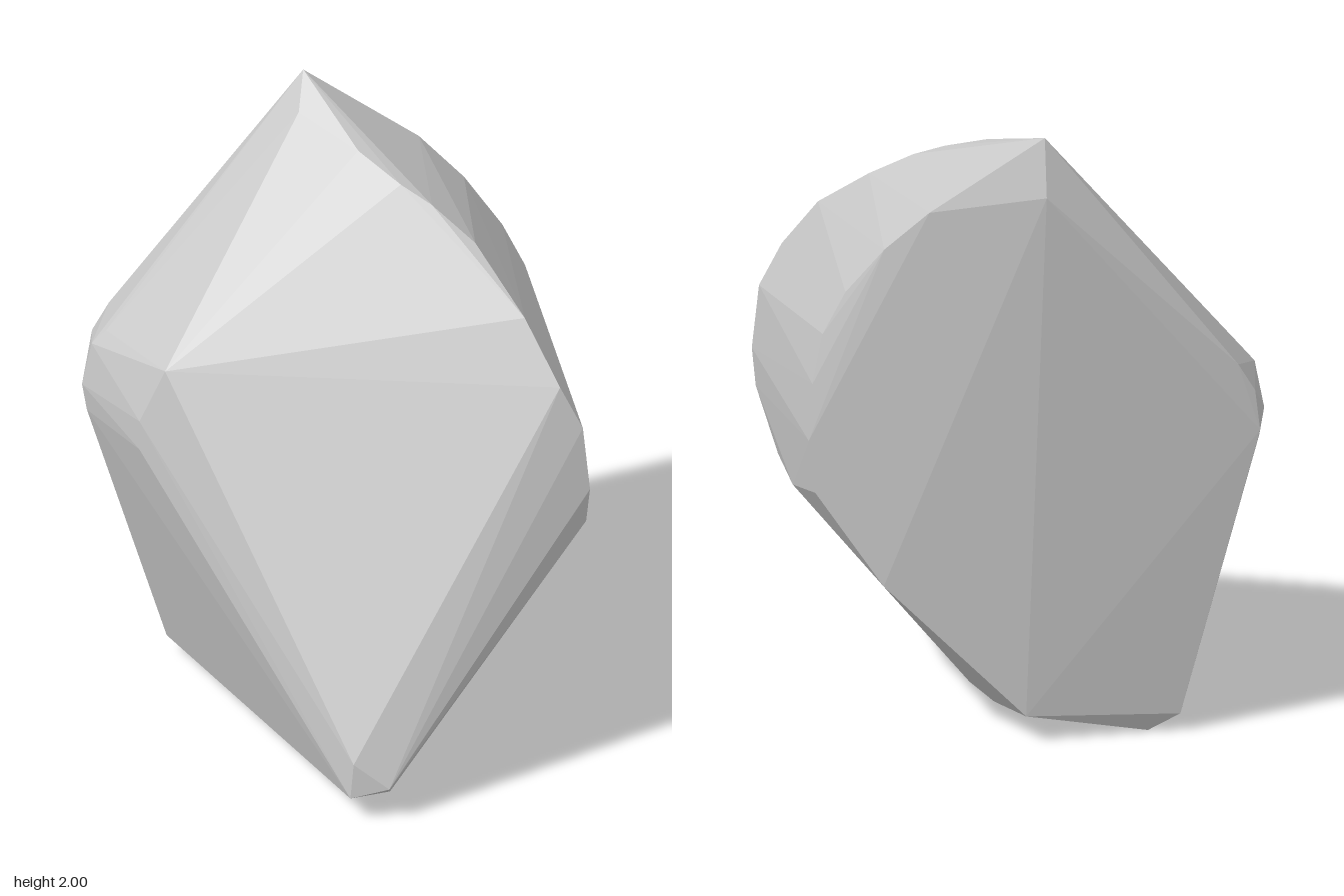
import * as THREE from 'three';
import { ConvexGeometry } from 'three/addons/geometries/ConvexGeometry.js';

// Corners of the stone, grouped by region
const peak = [
  [-0.16, 2.0, -0.53], [-0.16, 1.92, -0.41], [-0.17, 1.82, -0.575],
];
// Where the broad front facet meets the rounded side
const frontRidge = [
  [0.04, 1.885, -0.26], [0.18, 1.825, -0.175], [0.28, 1.78, -0.14], [0.42, 1.69, -0.08],
  [0.59, 1.53, 0.08], [0.71, 1.35, 0.18], [0.78, 1.21, 0.18], [0.803, 1.0, 0.19],
  [0.79, 0.88, 0.18], [0.71, 0.71, 0.05],
];
// Where the rounded side meets the flat back
const backRidge = [
  [0.19, 1.76, -0.575], [0.33, 1.63, -0.565], [0.45, 1.48, -0.545], [0.52, 1.34, -0.545],
  [0.55, 1.18, -0.56], [0.56, 1.0, -0.575], [0.54, 0.83, -0.575], [0.64, 0.72, -0.23],
  [0.33, 0.53, -0.575],
];
// Blunt corner opposite the rounded side
const sideCorner = [
  [-0.74, 1.22, -0.38], [-0.79, 1.13, -0.362], [-0.805, 1.0, -0.36], [-0.805, 1.02, -0.22],
  [-0.79, 0.93, -0.22], [-0.775, 1.17, -0.215], [-0.73, 1.22, -0.215],
  [-0.52, 1.24, 0.04], [-0.6, 1.05, 0.03], [-0.6, 0.95, 0.03],
];
const foot = [
  [0.12, 0.2, 0.575], [0.23, 0.12, 0.575], [0.11, 0.08, 0.575], [0.22, 0.05, 0.47],
  [0.1, 0.08, -0.2], [0.01, 0.085, -0.37], [-0.1, 0.09, -0.5],
  [-0.46, 0.0, -0.35], [-0.56, 0.06, -0.355],
];

export function createModel() {
  const group = new THREE.Group();
  group.name = 'rock';

  const stone = new THREE.MeshStandardMaterial({ color: 0xc8c8c8 });
  stone.name = 'pale grey stone';

  // The hull of the corners has one flat normal per facet
  const corners = [...peak, ...frontRidge, ...backRidge, ...sideCorner, ...foot]
    .map((p) => new THREE.Vector3(...p));
  const boulder = new THREE.Mesh(new ConvexGeometry(corners), stone);
  boulder.name = 'boulder';
  group.add(boulder);
  return group;
}
